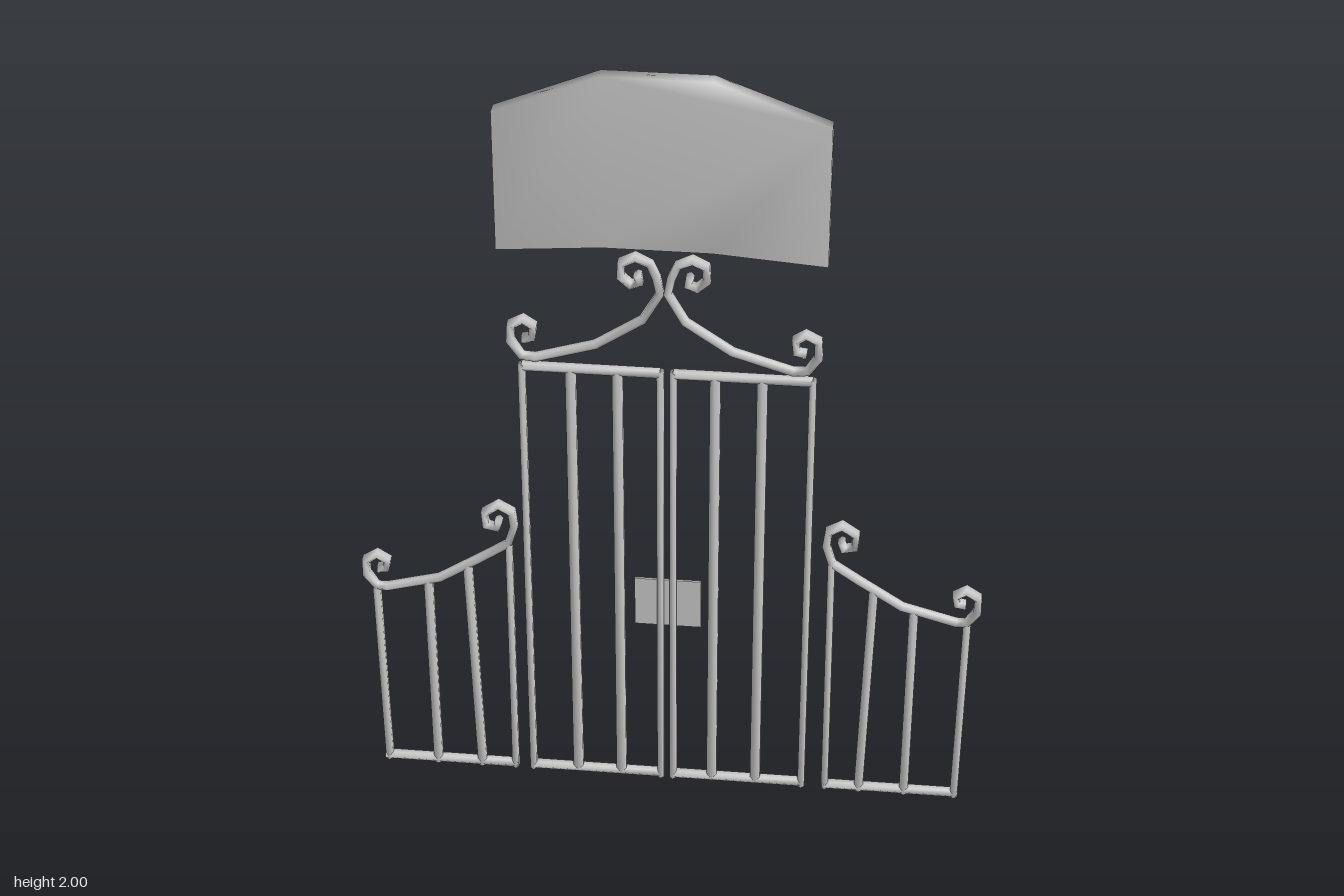
import * as THREE from 'three';
import { mergeVertices } from 'three/addons/utils/BufferGeometryUtils.js';

const material = new THREE.MeshStandardMaterial({ color: 0xcccccc });
const SIDES = 6;

// Sweep a six-sided oval section along a path in the XY plane; radii may vary per point.
function sweep(path, radius, depth) {
  const pts = path.map(([x, y]) => new THREE.Vector2(x, y));
  const n = pts.length;
  const position = [], index = [];
  pts.forEach((p, i) => {
    const a = p.clone().sub(pts[Math.max(i - 1, 0)]).normalize();
    const b = pts[Math.min(i + 1, n - 1)].clone().sub(p).normalize();
    const t = a.add(b).normalize();
    const dz = typeof depth === 'function' ? depth(i, n) : depth;
    for (let k = 0; k < SIDES; k++) {
      const ang = (k + 0.5) / SIDES * Math.PI * 2;
      const c = Math.cos(ang) * radius, s = Math.sin(ang) * dz;
      position.push(p.x - t.y * c, p.y + t.x * c, s);
    }
  });
  for (let i = 0; i < n - 1; i++) {
    for (let k = 0; k < SIDES; k++) {
      const a = i * SIDES + k, b = i * SIDES + (k + 1) % SIDES;
      index.push(a, b, a + SIDES, b, b + SIDES, a + SIDES);
    }
  }
  // End caps
  const last = (n - 1) * SIDES;
  for (let k = 1; k < SIDES - 1; k++) {
    index.push(0, k + 1, k, last, last + k, last + k + 1);
  }
  const geo = new THREE.BufferGeometry();
  geo.setAttribute('position', new THREE.Float32BufferAttribute(position, 3));
  geo.setIndex(index);
  geo.computeVertexNormals();
  return geo;
}

function add(group, name, geo) {
  const mesh = new THREE.Mesh(geo, material);
  mesh.name = name;
  group.add(mesh);
  return mesh;
}

const mirror = (path) => path.map(([x, y]) => [-x, y]).reverse();
// Curled ends are deeper than the plain middle of a scroll.
const scrollDepth = (i, n) => (i < 6 || i > n - 7 ? 0.021 : 0.015);

// Left halves of the scrollwork, from curl to curl
const FENCE_SCROLL = [
  [-0.725, 0.607], [-0.704, 0.61], [-0.7, 0.634], [-0.725, 0.65], [-0.754, 0.631],
  [-0.754, 0.589], [-0.73, 0.553], [-0.704, 0.552], [-0.571, 0.589], [-0.466, 0.658],
  [-0.397, 0.706], [-0.381, 0.759], [-0.386, 0.801], [-0.418, 0.82], [-0.452, 0.796],
  [-0.45, 0.759], [-0.423, 0.753], [-0.418, 0.775],
];
const CREST_SCROLL = [
  [-0.333, 1.3], [-0.31, 1.305], [-0.307, 1.337], [-0.331, 1.353], [-0.36, 1.337],
  [-0.362, 1.294], [-0.336, 1.253], [-0.304, 1.25], [-0.161, 1.294], [-0.05, 1.369],
  [-0.009, 1.443], [-0.017, 1.485], [-0.032, 1.52], [-0.066, 1.536], [-0.098, 1.52],
  [-0.1, 1.484], [-0.077, 1.462], [-0.056, 1.47], [-0.061, 1.492],
];

// One tall gate leaf: frame plus two heavier inner bars
function gateLeaf(name, x0, x1, inner) {
  const leaf = new THREE.Group();
  leaf.name = name;
  for (const x of [x0, x1]) add(leaf, 'stile', sweep([[x, 0.005], [x, 1.23]], 0.01, 0.015));
  for (const y of [0.015, 1.224]) add(leaf, 'rail', sweep([[x0, y], [x1, y]], 0.012, 0.015));
  for (const x of inner) add(leaf, 'innerBar', sweep([[x, 0.015], [x, 1.224]], 0.0145, 0.015));
  return leaf;
}

// One low side fence; the bars lean slightly and meet the curved top rail
function sideFence(name, flip) {
  const fence = new THREE.Group();
  fence.name = name;
  const place = flip ? mirror : (p) => p;
  const bars = [
    [-0.725, -0.731, 0.55, 0.011], [-0.598, -0.6, 0.58, 0.013],
    [-0.483, -0.5, 0.636, 0.013], [-0.397, -0.395, 0.705, 0.01],
  ];
  for (const [xb, xt, top, r] of bars) {
    add(fence, 'fenceBar', sweep(place([[xb, 0.005], [xt, top]]), r, 0.015));
  }
  add(fence, 'bottomRail', sweep(place([[-0.735, 0.014], [-0.39, 0.014]]), 0.012, 0.015));
  add(fence, 'scrollRail', sweep(place(FENCE_SCROLL), 0.0115, scrollDepth));
  return fence;
}

export function createModel() {
  const gate = new THREE.Group();
  gate.name = 'gate';

  gate.add(gateLeaf('rightLeaf', -0.35, -0.022, [-0.234, -0.123]));
  gate.add(gateLeaf('leftLeaf', 0.009, 0.337, [0.108, 0.219]));
  gate.add(sideFence('rightFence', false), sideFence('leftFence', true));

  // Crest above the leaves
  const crest = new THREE.Group();
  crest.name = 'crest';
  crest.position.x = -0.013;
  add(crest, 'rightScroll', sweep(CREST_SCROLL, 0.0115, scrollDepth));
  add(crest, 'leftScroll', sweep(mirror(CREST_SCROLL), 0.0115, scrollDepth));
  gate.add(crest);

  // Thin lock plate between the inner bars
  const plate = add(gate, 'lockPlate', new THREE.BoxGeometry(0.164, 0.138, 0.006));
  plate.position.set(-0.004, 0.557, 0);

  // Blank faceted sign panel, shaded smoothly across its edges
  const outline = [
    [-0.4, 1.545], [-0.155, 1.565], [0.1, 1.565], [0.365, 1.545],
    [0.365, 1.9], [0.1, 2], [-0.155, 2], [-0.4, 1.9],
  ].map(([x, y]) => new THREE.Vector2(x, y));
  let panel = new THREE.ExtrudeGeometry(new THREE.Shape(outline), { depth: 0.036, bevelEnabled: false });
  panel.translate(0, 0, -0.018);
  panel.deleteAttribute('uv');
  panel.deleteAttribute('normal');
  panel = mergeVertices(panel);
  panel.computeVertexNormals();
  add(gate, 'signPanel', panel);

  gate.position.z = -0.002;
  const model = new THREE.Group();
  model.name = 'gateWithSign';
  model.add(gate);
  return model;
}
